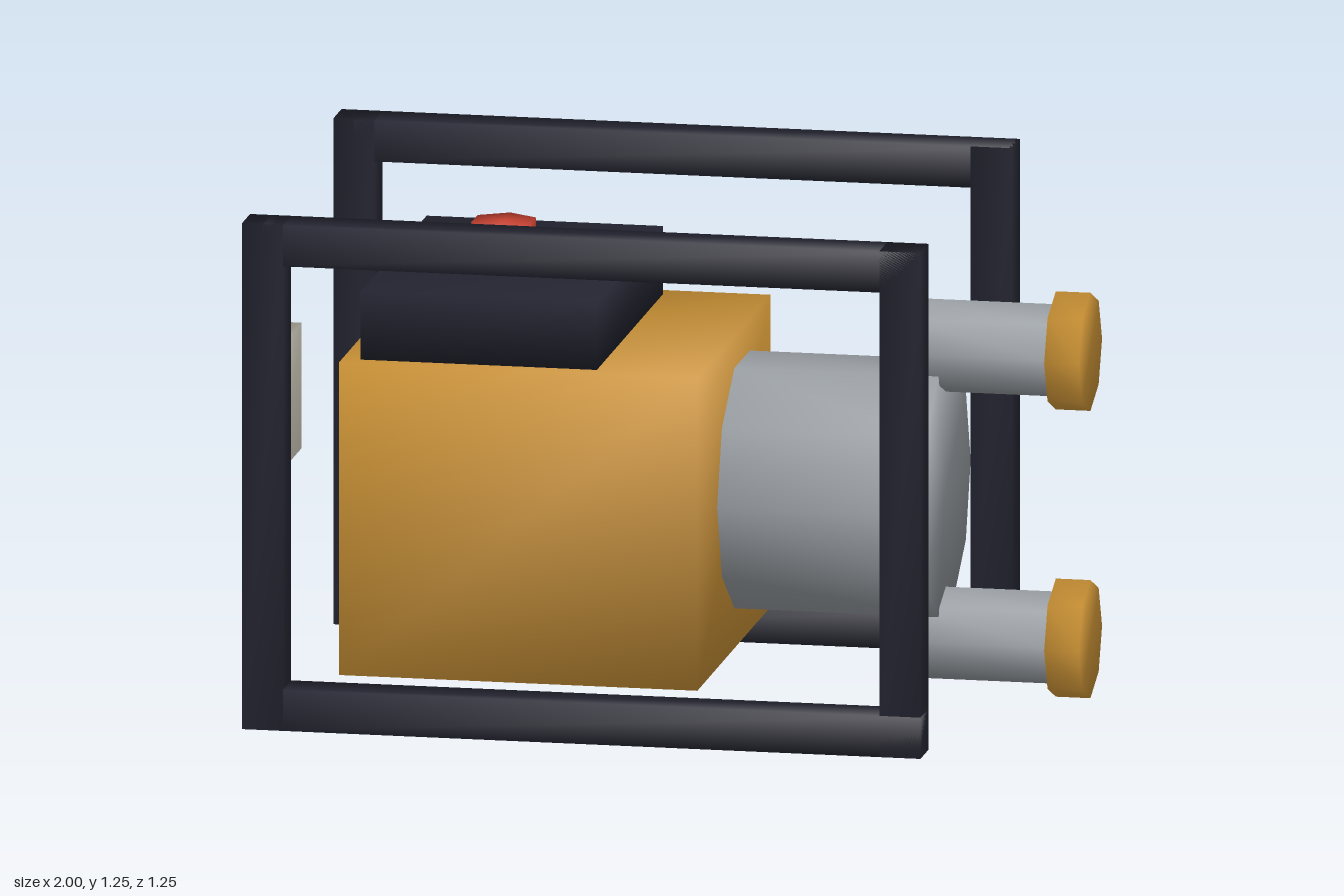
import * as THREE from 'three';
import { mergeVertices } from 'three/addons/utils/BufferGeometryUtils.js';

const mat = (name, color) => {
  const m = new THREE.MeshStandardMaterial({ color });
  m.name = name;
  return m;
};

// Weld corners so the shading runs softly across the edges
function soften(geometry) {
  geometry.deleteAttribute('uv');
  geometry.deleteAttribute('normal');
  const g = mergeVertices(geometry, 1e-4);
  g.computeVertexNormals();
  return g;
}

export function createModel() {
  const ochre = mat('ochre paint', 0xd09637);
  const steel = mat('grey metal', 0x9a9fa4);
  const dark = mat('dark frame', 0x232330);
  const red = mat('red cap', 0xc84232);
  const ivory = mat('ivory plate', 0xd6d2c2);

  const model = new THREE.Group();
  model.name = 'motorPump';

  const add = (name, geometry, material, parent) => {
    const mesh = new THREE.Mesh(soften(geometry), material);
    mesh.name = name;
    parent.add(mesh);
    return mesh;
  };
  // Box given by its lower and upper corners
  const box = (name, material, [x0, y0, z0], [x1, y1, z1], parent = model) =>
    add(name, new THREE.BoxGeometry(x1 - x0, y1 - y0, z1 - z0), material, parent)
      .position.set((x0 + x1) / 2, (y0 + y1) / 2, (z0 + z1) / 2);
  // Cylinder lying along x, with a corner at angle `turn`
  const drum = (name, material, r, x0, x1, y, sides, turn = 0, parent = model) => {
    const g = new THREE.CylinderGeometry(r, r, x1 - x0, sides);
    g.rotateY(turn).rotateZ(-Math.PI / 2);
    add(name, g, material, parent).position.set((x0 + x1) / 2, y, 0);
  };

  // Engine with its fuel tank and filler cap
  box('engineBlock', ochre, [-0.755, 0.105, -0.457], [0.125, 0.877, 0.457]);
  box('fuelTank', dark, [-0.71, 0.875, -0.415], [-0.13, 1.045, 0.415]);
  add('fillerCap', new THREE.CylinderGeometry(0.083, 0.083, 0.1, 6), red, model)
    .position.set(-0.44, 1.09, 0);

  // Plate behind the engine
  box('sidePlate', ivory, [-1, 0.525, -0.125], [-0.96, 0.835, 0.125]);

  // Pump housing with two capped ports
  drum('pumpHousing', steel, 0.312, 0.145, 0.645, 0.525, 10);
  for (const [name, y] of [['upperPort', 0.878], ['lowerPort', 0.168]]) {
    const port = new THREE.Group();
    port.name = name;
    model.add(port);
    drum('portPipe', steel, 0.114, 0.54, 0.917, y, 8, 0, port);
    drum('portCap', ochre, 0.146, 0.915, 1, y, 8, 0, port);
  }

  // Two rectangular guard frames
  for (const side of [1, -1]) {
    const frame = new THREE.Group();
    frame.name = side > 0 ? 'frontFrame' : 'backFrame';
    model.add(frame);
    const z0 = side * 0.573 - 0.051, z1 = side * 0.573 + 0.051;
    for (const x of [-0.96, 0.604])
      box('framePost', dark, [x, 0, z0], [x + 0.101, 1.25, z1], frame);
    for (const y of [0, 1.148])
      box('frameRail', dark, [-0.909, y, z0], [0.705, y + 0.102, z1], frame);
  }
  return model;
}
